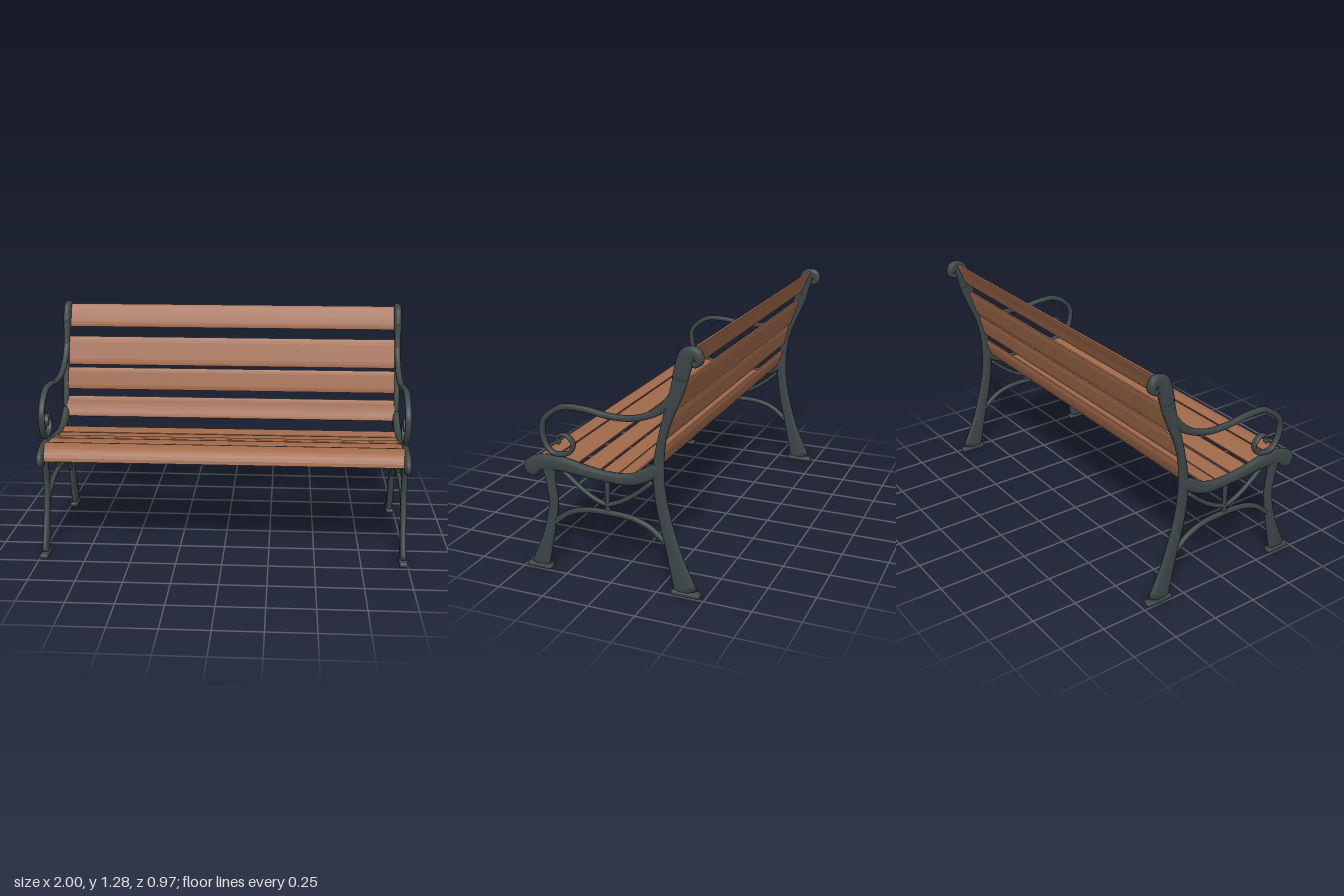
import * as THREE from 'three';
import { RoundedBoxGeometry } from 'three/addons/geometries/RoundedBoxGeometry.js';

const SIDES = 14;

// Cast bar in the z-y plane. Points are [z, y, width]; depth is its size along x.
// round sets how far the domed ends stick out (0 = flat ends).
function barGeometry(points, depth, round) {
  const curve = new THREE.CatmullRomCurve3(points.map(p => new THREE.Vector3(...p)));
  const steps = (points.length - 1) * 7;
  const rings = [];
  const addRing = (t, scale, shift) => {
    const p = curve.getPoint(t), d = curve.getTangent(t);
    const len = Math.hypot(d.x, d.y);
    const tz = d.x / len, ty = d.y / len;
    rings.push({ z: p.x + tz * shift * p.z / 2, y: p.y + ty * shift * p.z / 2, tz, ty, w: p.z * scale, d: depth * scale });
  };
  const caps = round ? [1.45, 1.1, 0.75, 0.38] : [];
  caps.forEach(a => addRing(0, Math.cos(a), -Math.sin(a) * round));
  for (let i = 0; i <= steps; i++) addRing(i / steps, 1, 0);
  [...caps].reverse().forEach(a => addRing(1, Math.cos(a), Math.sin(a) * round));

  // Softly squared oval cross-sections
  const pos = [], index = [];
  const soft = v => Math.sign(v) * Math.pow(Math.abs(v), 0.75);
  for (const r of rings) {
    for (let j = 0; j < SIDES; j++) {
      const a = j / SIDES * Math.PI * 2;
      const n = soft(Math.cos(a)) * r.w / 2;
      pos.push(soft(Math.sin(a)) * r.d / 2, r.y - r.tz * n, r.z + r.ty * n);
    }
  }
  for (let i = 0; i < rings.length - 1; i++) {
    for (let j = 0; j < SIDES; j++) {
      const k = (j + 1) % SIDES, a = i * SIDES + j, b = i * SIDES + k;
      index.push(a, b, a + SIDES, b, b + SIDES, a + SIDES);
    }
  }
  const last = (rings.length - 1) * SIDES;
  for (let j = 1; j < SIDES - 1; j++) {
    index.push(0, j + 1, j, last, last + j, last + j + 1);
  }
  const g = new THREE.BufferGeometry();
  g.setAttribute('position', new THREE.Float32BufferAttribute(pos, 3));
  g.setIndex(index);
  g.computeVertexNormals();
  return g;
}

// Points of a symmetric arch whose ends bend away from the middle by a power curve
function archPoints(centre, half, yMid, yEnd, width, power) {
  return Array.from({ length: 9 }, (_, i) => {
    const u = 1 - i / 4;
    return [centre + half * u, yMid + (yEnd - yMid) * Math.pow(Math.abs(u), power), width];
  });
}

// Points of the armrest scroll: a spiral in eighth turns, thinning towards its eye
function scrollPoints() {
  const quarterRadii = [0.187, 0.098, 0.057, 0.064, 0.046, 0.015];
  return Array.from({ length: 11 }, (_, k) => {
    const r = (quarterRadii[Math.floor(k / 2)] + quarterRadii[Math.ceil(k / 2)]) / 2;
    const a = Math.PI / 2 - k * Math.PI / 4;
    return [0.262 + r * Math.cos(a), 0.705 + r * Math.sin(a), 0.03 - 0.0017 * k];
  });
}

// Wooden slat: a thin bowed strip from [z0, y0] to [z1, y1], extruded along x
function slatGeometry([z0, y0, z1, y1, bow]) {
  const start = new THREE.Vector2(z0, y0), end = new THREE.Vector2(z1, y1);
  const dir = end.clone().sub(start).normalize();
  const control = start.clone().add(end).multiplyScalar(0.5);
  control.add(new THREE.Vector2(dir.y, -dir.x).multiplyScalar(bow * 2));
  const curve = new THREE.QuadraticBezierCurve(start, control, end);
  const upper = [], lower = [];
  const n = 10, edge = [0.5, 0.85];
  for (let i = 0; i <= n; i++) {
    const p = curve.getPoint(i / n), d = curve.getTangent(i / n);
    const h = 0.009 * (edge[Math.min(i, n - i)] ?? 1);
    upper.push(new THREE.Vector2(p.x - d.y * h, p.y + d.x * h));
    lower.unshift(new THREE.Vector2(p.x + d.y * h, p.y - d.x * h));
  }
  const g = new THREE.ExtrudeGeometry(new THREE.Shape([...upper, ...lower]), { depth: 1.94, bevelEnabled: false });
  g.rotateY(-Math.PI / 2);
  g.translate(0.968, 0, 0);
  return g;
}

// Slats as [z0, y0, z1, y1, bow]
const SEAT_SLATS = [
  [0.447, 0.55, 0.32, 0.615, 0.033],
  [0.31, 0.614, 0.19, 0.6, 0.003],
  [0.168, 0.597, 0.07, 0.581, 0],
  [0.058, 0.578, -0.025, 0.571, -0.002],
  [-0.032, 0.572, -0.11, 0.584, -0.002],
];
const BACK_SLATS = [
  [-0.215, 0.62, -0.258, 0.735, -0.006],
  [-0.264, 0.775, -0.296, 0.9, 0],
  [-0.304, 0.915, -0.357, 1.075, 0],
  [-0.375, 1.13, -0.43, 1.258, 0.004],
];

export function createModel() {
  const iron = new THREE.MeshStandardMaterial({ color: 0x3c4647 });
  iron.name = 'darkIron';
  const wood = new THREE.MeshStandardMaterial({ color: 0xa0694a });
  wood.name = 'brownWood';

  const bench = new THREE.Group();
  bench.name = 'bench';
  const add = (parent, name, geometry, material) => {
    const mesh = new THREE.Mesh(geometry, material);
    mesh.name = name;
    parent.add(mesh);
    return mesh;
  };

  // Cast iron end frames
  for (const side of [1, -1]) {
    const frame = new THREE.Group();
    frame.name = side > 0 ? 'leftFrame' : 'rightFrame';
    frame.position.x = side * 0.977;
    bench.add(frame);
    const bar = (name, depth, round, points) => add(frame, name, barGeometry(points, depth, round), iron);

    // Legs and back
    bar('frontLeg', 0.034, 0, [[0.412, 0.02, 0.1], [0.352, 0.215, 0.06], [0.322, 0.38, 0.05],
      [0.335, 0.504, 0.055], [0.34, 0.58, 0.09]]);
    bar('backPost', 0.036, 0, [[-0.4, 0.02, 0.125], [-0.338, 0.215, 0.078], [-0.272, 0.487, 0.06],
      [-0.26, 0.66, 0.055], [-0.285, 0.83, 0.042], [-0.365, 1.08, 0.076], [-0.383, 1.16, 0.085]]);
    bar('topScroll', 0.045, 0.6, [[-0.374, 1.12, 0.08], [-0.39, 1.18, 0.084], [-0.412, 1.227, 0.086],
      [-0.45, 1.24, 0.064], [-0.468, 1.205, 0.038], [-0.444, 1.185, 0.03]]);

    // Seat rail and armrest
    bar('seatRail', 0.042, 1, [[0.438, 0.555, 0.095], [0.4, 0.583, 0.088], [0.28, 0.596, 0.078],
      [0.15, 0.579, 0.063], [0, 0.566, 0.055], [-0.12, 0.574, 0.062], [-0.25, 0.64, 0.075]]);
    bar('armrest', 0.034, 1, [[-0.34, 1.035, 0.04], [-0.292, 0.968, 0.046], [-0.22, 0.918, 0.036],
      [-0.12, 0.886, 0.03], [0, 0.882, 0.03], [0.14, 0.9, 0.03], ...scrollPoints()]);

    // Braces below the seat
    bar('lowerArch', 0.026, 0.5, archPoints(0.015, 0.305, 0.374, 0.27, 0.028, 3));
    bar('hangingBrace', 0.024, 0.5, archPoints(0.025, 0.245, 0.418, 0.57, 0.023, 1.5));
    bar('centreStrut', 0.022, 0, [[0.018, 0.37, 0.028], [0.018, 0.45, 0.021], [0.018, 0.56, 0.03]]);

    // Feet
    for (const [name, z, length] of [['frontFoot', 0.415, 0.14], ['backFoot', -0.4, 0.152]]) {
      add(frame, name, new RoundedBoxGeometry(0.046, 0.026, length, 3, 0.01), iron).position.set(0, 0.013, z);
    }
  }

  // Wooden slats between the frames
  SEAT_SLATS.forEach((slat, i) => add(bench, 'seatSlat' + (i + 1), slatGeometry(slat), wood));
  BACK_SLATS.forEach((slat, i) => add(bench, 'backSlat' + (i + 1), slatGeometry(slat), wood));

  return bench;
}
